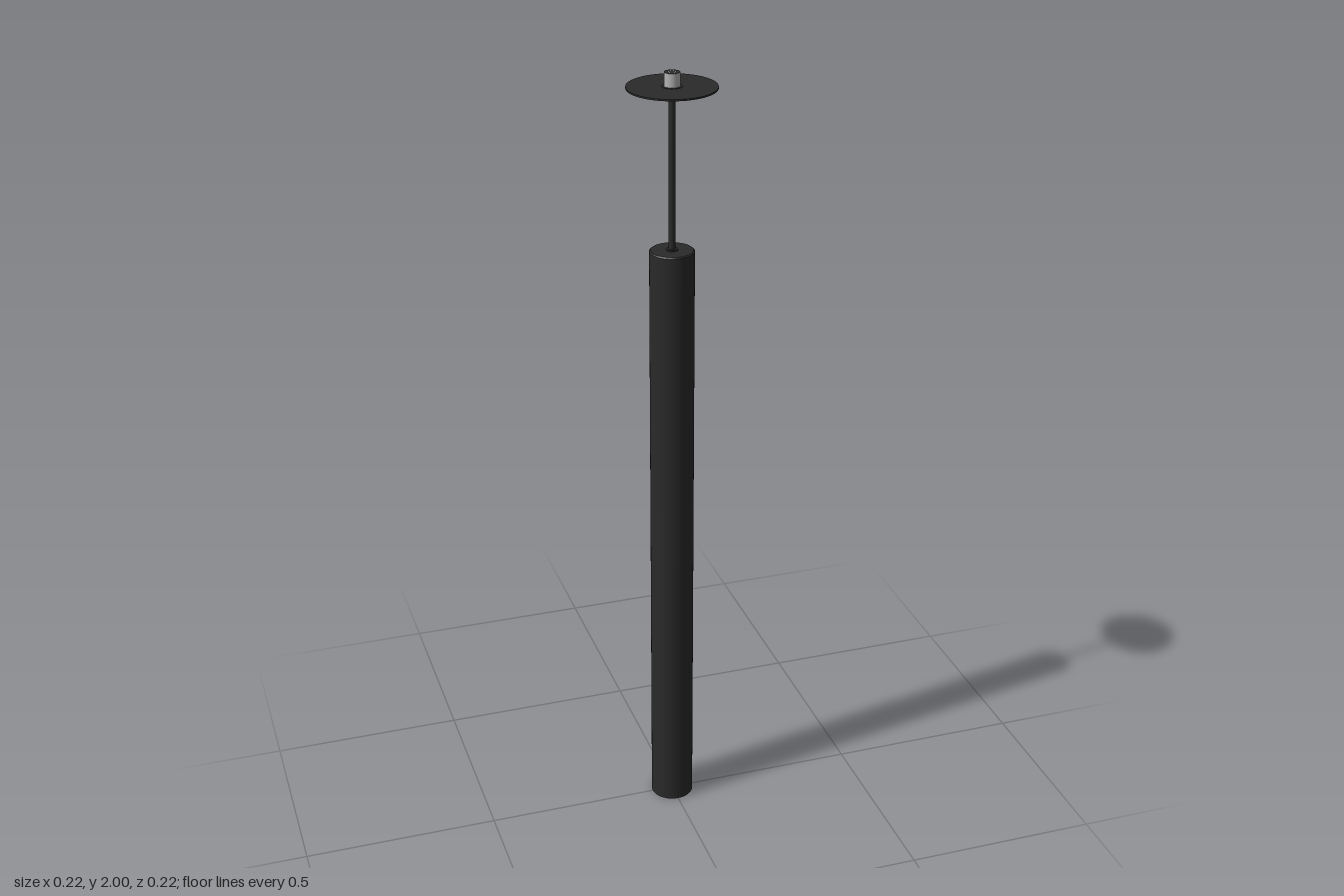
import * as THREE from 'three';

export function createModel() {
  const group = new THREE.Group();
  const black = new THREE.MeshStandardMaterial({ color: 0x2a2a2a });
  black.name = 'matte black';
  const grey = new THREE.MeshStandardMaterial({ color: 0xb4b4b4 });
  grey.name = 'fitting grey';
  const white = new THREE.MeshStandardMaterial({ color: 0xe6e6e6 });
  white.name = 'reflector white';

  const add = (name, geometry, material, y = 0) => {
    const mesh = new THREE.Mesh(geometry, material);
    mesh.name = name;
    mesh.position.y = y;
    group.add(mesh);
  };
  const cylinder = (name, r, y0, y1, material) =>
    add(name, new THREE.CylinderGeometry(r, r, y1 - y0, 48), material, (y0 + y1) / 2);
  // Each straight profile run is its own lathe, so the edges stay sharp
  const turned = (name, points, material) => {
    for (let i = 0; i < points.length - 1; i++) {
      const run = [points[i], points[i + 1]].map(([x, y]) => new THREE.Vector2(x, y));
      add(name, new THREE.LatheGeometry(run, 64), material);
    }
  };

  // Long tubular shade, open at the bottom
  turned('shade', [[0.05, 0.012], [0.05, 0], [0.055, 0], [0.055, 1.562], [0.052, 1.565], [0, 1.565]], black);

  // Light reflector and lens recessed in the opening
  turned('reflector', [[0, 0.055], [0.022, 0.055], [0.05, 0.012]], white);

  // Suspension rod with a collar at each end
  cylinder('rod', 0.008, 1.56, 1.962, black);
  cylinder('lowerCollar', 0.014, 1.56, 1.568, black);
  cylinder('upperCollar', 0.025, 1.957, 1.967, black);

  // Thin ceiling plate
  cylinder('ceilingPlate', 0.108, 1.962, 1.966, black);

  // Threaded fitting above the plate, dark on top with a pale wire hole
  cylinder('fitting', 0.019, 1.966, 2, [grey, black, black]);
  const hole = new THREE.RingGeometry(0.0075, 0.0085, 32);
  hole.rotateX(-Math.PI / 2);
  add('wireHoleRim', hole, grey, 2.0003);

  return group;
}
